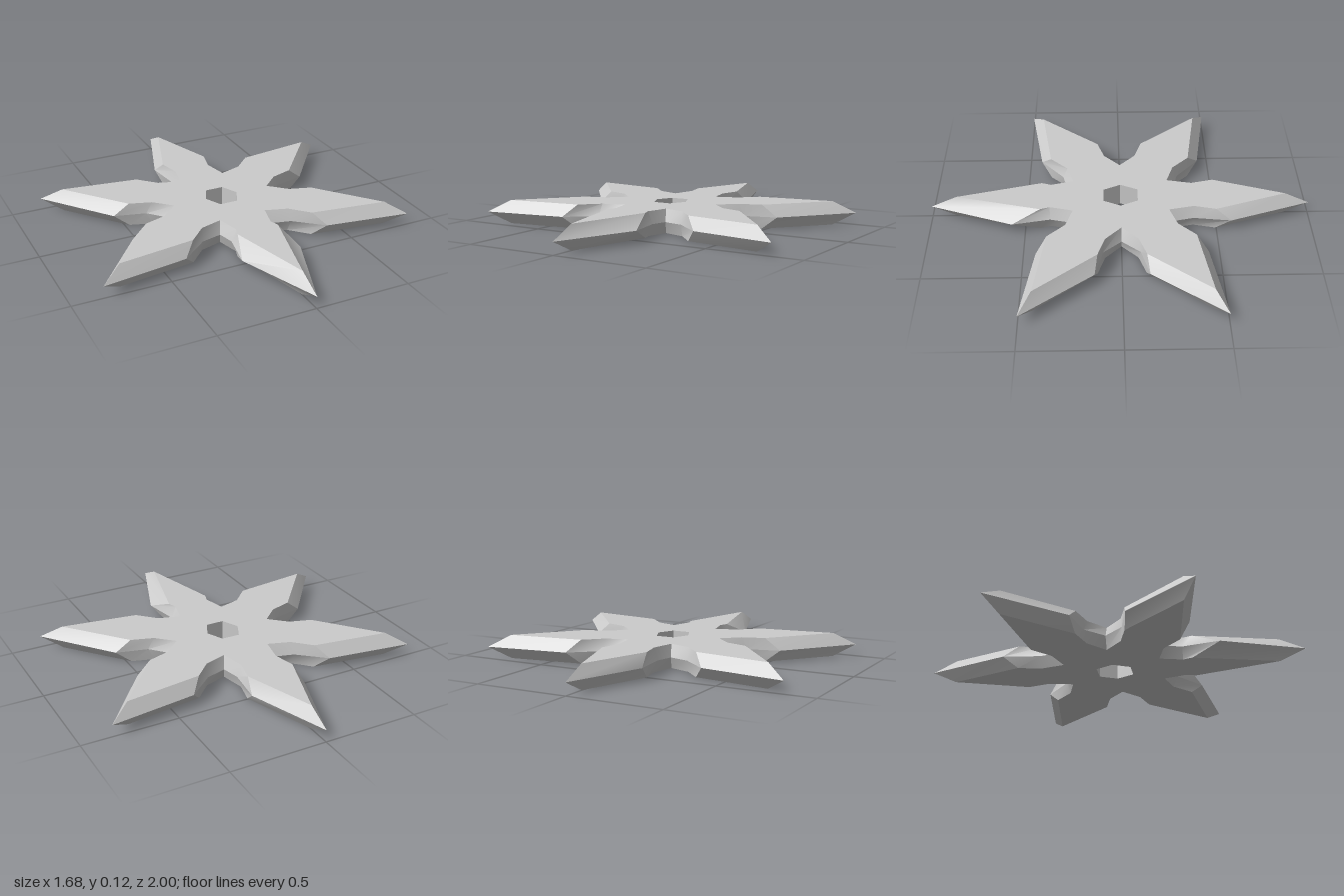
import * as THREE from 'three';
import { toCreasedNormals } from 'three/addons/utils/BufferGeometryUtils.js';

const HEIGHT = 0.125;

// Right half of each outline as [x, z], from the back tip round to the front tip
const EDGE = [
  [0, -1], [0.147, -0.574], [0.122, -0.38], [0.143, -0.284], [0.25, -0.315], [0.39, -0.436],
  [0.84, -0.5], [0.555, -0.137], [0.39, -0.095], [0.307, 0], [0.39, 0.095], [0.555, 0.137],
  [0.84, 0.5], [0.394, 0.432], [0.25, 0.31], [0.143, 0.284], [0.122, 0.37], [0.16, 0.567], [0, 1],
];
const FACE = [
  [0, -0.87], [0.127, -0.495], [0.1, -0.38], [0.127, -0.25], [0.243, -0.288], [0.333, -0.378],
  [0.735, -0.435], [0.476, -0.122], [0.36, -0.085], [0.27, 0], [0.36, 0.085], [0.476, 0.122],
  [0.735, 0.435], [0.333, 0.378], [0.243, 0.285], [0.127, 0.25], [0.097, 0.37], [0.113, 0.42], [0, 0.865],
];
const HOLE = [[0.09, 0], [0.048, -0.09], [-0.048, -0.09], [-0.09, 0], [-0.048, 0.09], [0.048, 0.09]];

// Complete a half outline by mirroring it in x
const mirror = (half) => [...half, ...half.slice(1, -1).reverse().map(([x, z]) => [-x, z])];

// Band of quads between two matching loops at two heights
function band(low, yLow, high, yHigh) {
  const out = [];
  low.forEach((p, i) => {
    const j = (i + 1) % low.length;
    const a0 = [p[0], yLow, p[1]], b0 = [low[j][0], yLow, low[j][1]];
    const a1 = [high[i][0], yHigh, high[i][1]], b1 = [high[j][0], yHigh, high[j][1]];
    out.push(...b0, ...a0, ...a1, ...b0, ...a1, ...b1);
  });
  return out;
}

// Flat face with a hole, turned up or down
function cap(loop, hole, y, up) {
  const vec = (l) => l.map(([x, z]) => new THREE.Vector2(x, z));
  const points = [...loop, ...hole];
  const out = [];
  for (const tri of THREE.ShapeUtils.triangulateShape(vec(loop), [vec(hole)])) {
    let [a, b, c] = tri.map((i) => points[i]);
    const facesUp = (b[1] - a[1]) * (c[0] - a[0]) - (b[0] - a[0]) * (c[1] - a[1]) > 0;
    if (facesUp !== up) [b, c] = [c, b];
    for (const p of [a, b, c]) out.push(p[0], y, p[1]);
  }
  return out;
}

export function createModel() {
  const group = new THREE.Group();
  group.name = 'throwingStar';
  const material = new THREE.MeshStandardMaterial({ color: 0xcccccc });

  function add(name, positions, crease) {
    const geometry = new THREE.BufferGeometry();
    geometry.setAttribute('position', new THREE.Float32BufferAttribute(positions, 3));
    const mesh = new THREE.Mesh(toCreasedNormals(geometry, crease), material);
    mesh.name = name;
    group.add(mesh);
  }

  const edge = mirror(EDGE), face = mirror(FACE);

  // Flat faces pierced by the hexagonal hole
  add('topFace', cap(face, HOLE, HEIGHT, true), 0.1);
  add('bottomFace', cap(face, HOLE, 0, false), 0.1);

  // Sharpened bevels meeting at the middle height
  add('upperBevel', band(edge, HEIGHT / 2, face, HEIGHT), 0.6);
  add('lowerBevel', band(face, 0, edge, HEIGHT / 2), 0.6);

  // Inner walls of the hole
  add('holeWall', band(HOLE, 0, HOLE, HEIGHT), 0.1);

  return group;
}
